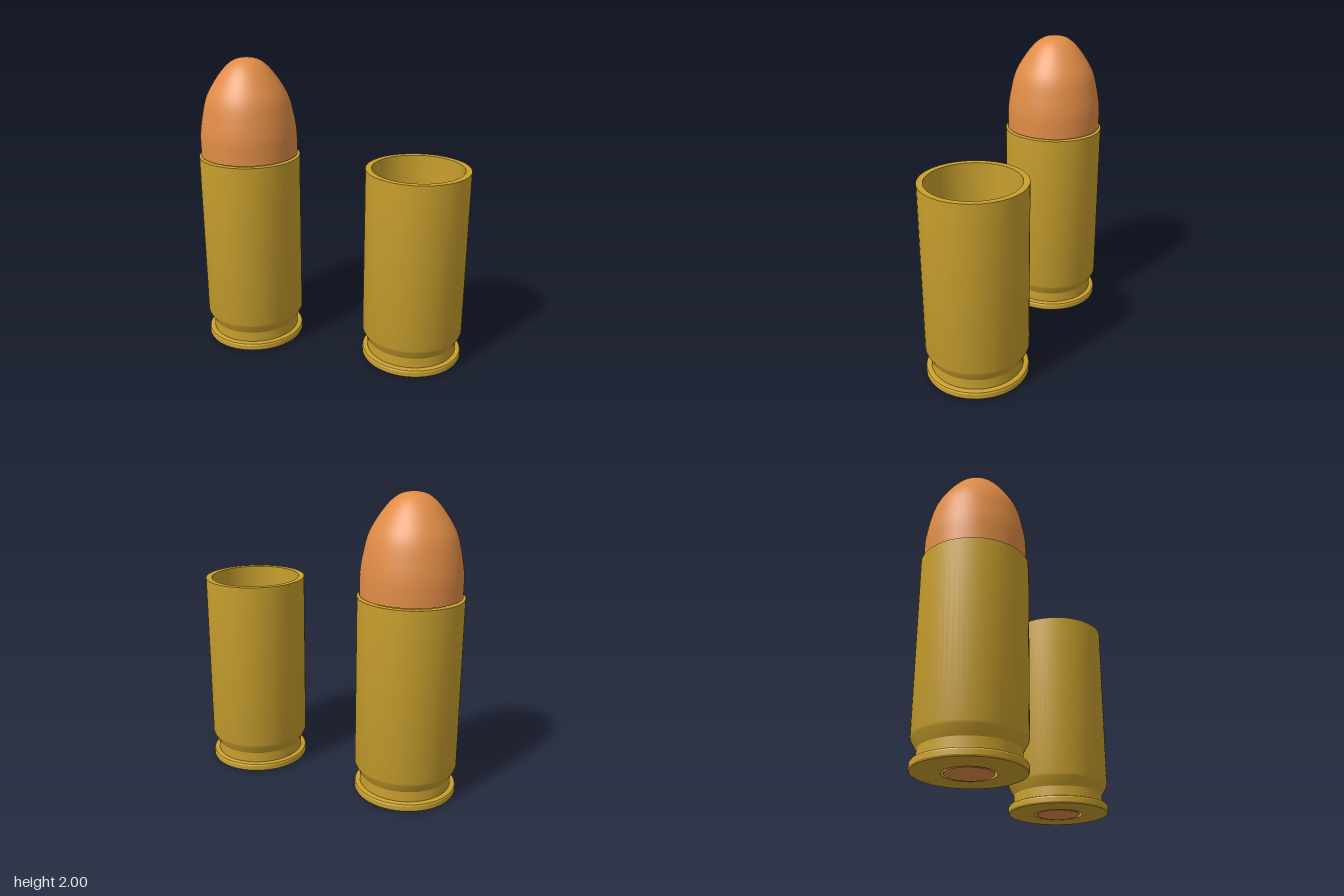
import * as THREE from 'three';
import { toCreasedNormals } from 'three/addons/utils/BufferGeometryUtils.js';

const brass = new THREE.MeshStandardMaterial({ color: 0xc9a02e });
const copper = new THREE.MeshStandardMaterial({ color: 0xe08c46 });

// Revolve a [radius, height] profile, keeping its hard edges sharp
function turned(name, profile, material) {
  const points = profile.map(([r, y]) => new THREE.Vector2(r, y));
  const geometry = toCreasedNormals(new THREE.LatheGeometry(points, 64), Math.PI / 7);
  const mesh = new THREE.Mesh(geometry, material);
  mesh.name = name;
  return mesh;
}

// Casing with primer pocket, rim, extractor groove and hollow inside
function makeCasing() {
  const group = new THREE.Group();
  group.name = 'casing';
  group.add(turned('caseBody', [
    [0, 0.04], [0.16, 0.04], [0.16, 0.004],            // primer pocket
    [0.325, 0.004], [0.335, 0.008], [0.34, 0.018],     // rim
    [0.34, 0.046], [0.335, 0.056], [0.325, 0.06],
    [0.303, 0.06], [0.303, 0.13],                      // groove
    [0.335, 0.19], [0.34, 0.205], [0.34, 1.345],       // outer wall
    [0.3, 1.345], [0.3, 0.2], [0, 0.2],                // mouth and inside
  ], brass));
  group.add(turned('primer', [
    [0, 0], [0.137, 0], [0.143, 0.004], [0.146, 0.012], [0.146, 0.045], [0, 0.045],
  ], copper));
  return group;
}

// Round-nosed bullet with a flat base
function makeBullet() {
  const nose = new THREE.SplineCurve([
    [0.325, 1.46], [0.321, 1.52], [0.308, 1.6], [0.277, 1.73],
    [0.225, 1.83], [0.15, 1.93], [0.08, 1.983], [0, 2],
  ].map(([r, y]) => new THREE.Vector2(r, y)));
  const curve = nose.getPoints(28).map((p) => [Math.max(p.x, 0), Math.min(p.y, 2)]);
  return turned('bullet', [[0, 1.355], [0.325, 1.355], ...curve], copper);
}

export function createModel() {
  const model = new THREE.Group();
  model.name = 'cartridgeAndEmptyCase';

  const cartridge = new THREE.Group();
  cartridge.name = 'cartridge';
  cartridge.add(makeCasing(), makeBullet());
  cartridge.position.x = -0.58;

  const emptyCase = makeCasing();
  emptyCase.name = 'emptyCase';
  emptyCase.position.x = 0.58;

  model.add(cartridge, emptyCase);
  return model;
}
